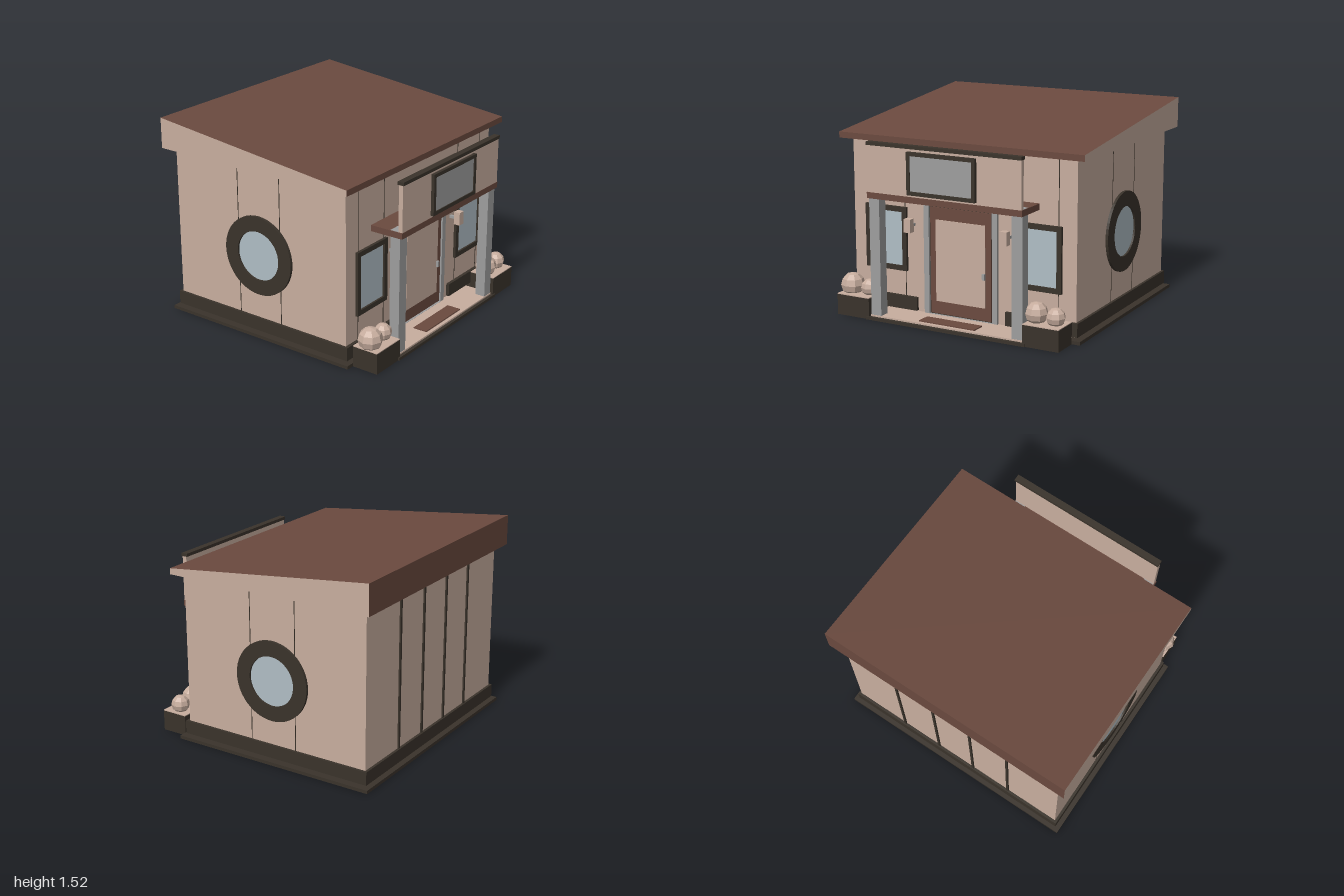
import * as THREE from 'three';

const mat = (name, color) => {
  const m = new THREE.MeshStandardMaterial({ color });
  m.name = name;
  return m;
};

export function createModel() {
  const root = new THREE.Group();
  root.name = 'smallShop';
  const tan = mat('tan cladding', 0xc8ae9f);
  const brown = mat('brown timber', 0x6b4a3f);
  const dark = mat('dark trim', 0x3a332b);
  const grey = mat('grey metal', 0x9e9e9e);
  const glass = mat('pale glass', 0xb0bec5);
  const foliage = tan.clone();
  foliage.name = 'faceted tan shrub';
  foliage.flatShading = true;

  const add = (name, geo, material) => {
    const mesh = new THREE.Mesh(geo, material);
    mesh.name = name;
    root.add(mesh);
    return mesh;
  };
  // Box given by its extents on each axis
  const box = (name, material, x0, x1, y0, y1, z0, z1) => {
    const g = new THREE.BoxGeometry(x1 - x0, y1 - y0, z1 - z0);
    g.translate((x0 + x1) / 2, (y0 + y1) / 2, (z0 + z1) / 2);
    return add(name, g, material);
  };
  // Rectangular frame facing +z with an opening inside
  const rect = (P, x0, x1, y0, y1) => {
    const p = new P();
    p.moveTo(x0, y0).lineTo(x1, y0).lineTo(x1, y1).lineTo(x0, y1).closePath();
    return p;
  };
  const frame = (name, material, outer, inner, z0, z1) => {
    const s = rect(THREE.Shape, ...outer);
    s.holes.push(rect(THREE.Path, ...inner));
    const g = new THREE.ExtrudeGeometry(s, { depth: z1 - z0, bevelEnabled: false });
    g.translate(0, 0, z0);
    return add(name, g, material);
  };

  // Ground slab, plinth and walls
  box('groundSlab', dark, -0.975, 0.975, 0, 0.025, -0.93, 0.71);
  box('plinthCore', dark, -0.91, 0.91, 0.02, 0.14, -0.87, 0.64);
  box('walls', tan, -0.92, 0.92, 0.03, 1.29, -0.88, 0.655);
  box('plinthBack', dark, -0.94, 0.94, 0.04, 0.14, -0.9, -0.87);
  for (const s of [-1, 1]) {
    const side = (a, b) => [Math.min(s * a, s * b), Math.max(s * a, s * b)];
    box('plinthSide', dark, ...side(0.91, 0.94), 0.04, 0.14, -0.9, 0.68);
    box('plinthFront', dark, ...side(0.37, 0.94), 0.04, 0.14, 0.65, 0.68);

    // Cladding seams on the sides and front, battens at the back
    for (const z of [0.08, -0.3])
      box('sideSeam', dark, ...side(0.918, 0.9215), 0.14, 1.29, z - 0.003, z + 0.003);
    for (const x of [0.475, 0.78])
      box('frontSeam', dark, ...side(x - 0.003, x + 0.003), 0.14, 1.29, 0.65, 0.6565);
    for (const x of [0.16, 0.484])
      box('backBatten', dark, ...side(x - 0.009, x + 0.009), 0.14, 1.28, -0.892, -0.875);

    // Round side window
    const ring = new THREE.Shape().absarc(0, 0, 0.3, 0, Math.PI * 2);
    ring.holes.push(new THREE.Path().absarc(0, 0, 0.187, 0, Math.PI * 2, true));
    const ringGeo = new THREE.ExtrudeGeometry(ring, { depth: 0.025, bevelEnabled: false, curveSegments: 24 });
    const placeSide = (m, x) => {
      m.rotation.y = s * Math.PI / 2;
      m.position.set(s * x, 0.63, -0.11);
    };
    placeSide(add('roundWindowFrame', ringGeo, dark), 0.915);
    placeSide(add('roundWindowGlass', new THREE.CircleGeometry(0.19, 48), glass), 0.926);

    // Front window
    const [a, b] = side(0.455, 0.81);
    frame('windowFrame', dark, [a, b, 0.33, 0.81], [a + 0.037, b - 0.037, 0.367, 0.773], 0.65, 0.677);
    box('windowGlass', glass, a + 0.03, b - 0.03, 0.36, 0.78, 0.65, 0.662);

    // Porch post and wall lamp
    box('porchPost', grey, ...side(0.54, 0.625), 0.03, 0.957, 0.815, 0.895);
    box('lampArm', grey, ...side(0.387, 0.408), 0.68, 0.7, 0.65, 0.71);
    box('lampBody', tan, ...side(0.37, 0.425), 0.645, 0.745, 0.705, 0.755);

    // Planter
    box('planterBox', dark, ...side(0.635, 0.913), 0, 0.155, 0.71, 0.915);
    box('planterSoil', tan, ...side(0.635, 0.913), 0.155, 0.161, 0.71, 0.915);
  }

  // Faceted shrubs: x, y, radius
  for (const [x, y, r] of [[-0.845, 0.215, 0.09], [-0.695, 0.21, 0.066], [0.692, 0.22, 0.083], [0.84, 0.21, 0.07]]) {
    const shrub = add('shrub', new THREE.SphereGeometry(r, 8, 6), foliage);
    shrub.position.set(x, y, 0.81);
  }

  // Mono-pitch roof with tan gable ends, profile drawn as z against y
  const profile = new THREE.Shape();
  profile.moveTo(0.72, 1.29).lineTo(0.72, 1.335).lineTo(-0.945, 1.52).lineTo(-0.945, 1.29).closePath();
  const roofGeo = new THREE.ExtrudeGeometry(profile, { depth: 2, bevelEnabled: false });
  roofGeo.rotateY(-Math.PI / 2).translate(1, 0, 0);
  add('roof', roofGeo, [tan, brown]);

  // Porch floor and mat
  box('porchStep', dark, -0.655, 0.655, 0, 0.022, 0.66, 0.925);
  box('porchFloor', tan, -0.63, 0.63, 0.022, 0.034, 0.655, 0.9);
  box('doorMat', brown, -0.23, 0.23, 0.034, 0.042, 0.76, 0.87);

  // Canopy, parapet and blank sign board
  box('canopy', brown, -0.63, 0.63, 0.91, 0.955, 0.65, 0.915);
  box('parapet', tan, -0.625, 0.625, 0.955, 1.3, 0.88, 0.913);
  box('parapetCap', dark, -0.628, 0.628, 1.298, 1.322, 0.87, 0.92);
  frame('signFrame', dark, [-0.277, 0.277, 0.972, 1.28], [-0.25, 0.25, 1, 1.253], 0.91, 0.938);
  box('signBoard', grey, -0.26, 0.26, 0.99, 1.26, 0.91, 0.931);

  // Door with metal surround
  frame('doorSurround', grey, [-0.305, 0.305, 0.036, 0.895], [-0.262, 0.262, 0.037, 0.852], 0.65, 0.675);
  box('doorRecess', dark, -0.265, 0.265, 0.036, 0.855, 0.65, 0.658);
  box('doorLeaf', brown, -0.252, 0.252, 0.045, 0.84, 0.65, 0.668);
  box('doorPanel', tan, -0.205, 0.205, 0.14, 0.75, 0.66, 0.673);
  box('doorHandle', grey, 0.188, 0.207, 0.352, 0.398, 0.668, 0.69);

  return root;
}
